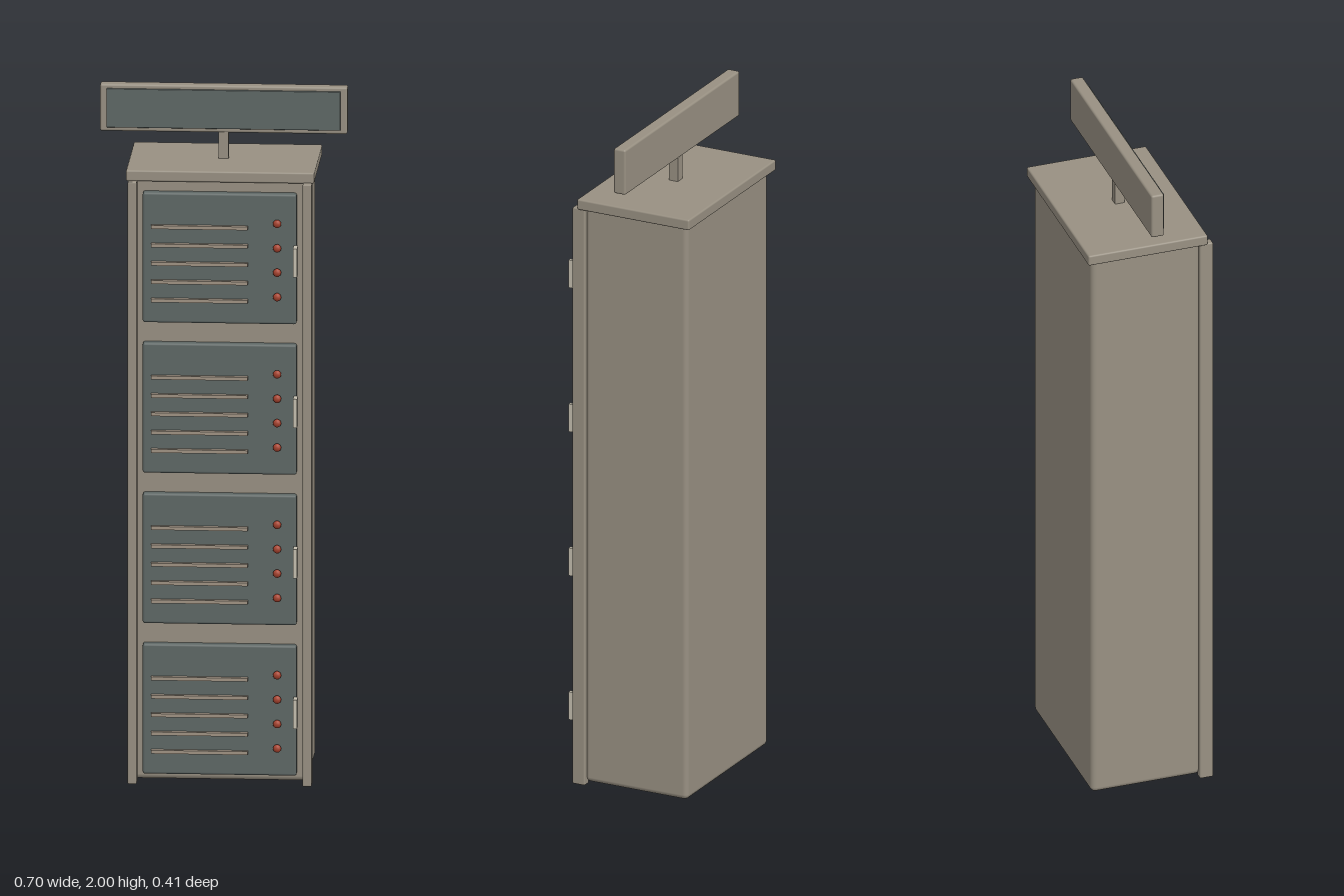
import * as THREE from 'three';
import { RoundedBoxGeometry } from 'three/addons/geometries/RoundedBoxGeometry.js';

const mat = (name, color) => {
  const m = new THREE.MeshStandardMaterial({ color });
  m.name = name;
  return m;
};

export function createModel() {
  const shell = mat('warm grey shell', 0x989082);
  const slate = mat('dark slate panel', 0x5e6765);
  const slatTone = mat('tan slat', 0xa09384);
  const red = mat('red lamp', 0xa8432f);
  const pale = mat('pale handle', 0xc6c0b0);

  const model = new THREE.Group();
  model.name = 'lockerCabinet';

  // Box from its limits, with rounded edges when a radius is given
  const box = (parent, name, material, [x0, x1], [y0, y1], [z0, z1], r = 0) => {
    const size = [x1 - x0, y1 - y0, z1 - z0];
    const geo = r ? new RoundedBoxGeometry(...size, 2, r) : new THREE.BoxGeometry(...size);
    const mesh = new THREE.Mesh(geo, material);
    mesh.name = name;
    mesh.position.set((x0 + x1) / 2, (y0 + y1) / 2, (z0 + z1) / 2);
    parent.add(mesh);
    return mesh;
  };

  // Cabinet shell, top cap and front rails
  box(model, 'body', shell, [-0.25, 0.25], [0.008, 1.765], [-0.19, 0.138], 0.015);
  box(model, 'topCap', shell, [-0.268, 0.268], [1.755, 1.787], [-0.205, 0.154], 0.005);
  for (const s of [-1, 1]) {
    const x = s * 0.249;
    box(model, s > 0 ? 'leftRail' : 'rightRail', shell, [x - 0.013, x + 0.013], [0, 1.757], [0.132, 0.172], 0.004);
  }

  // Four stacked doors, each with slats, lamps and a handle
  const lampGeo = new THREE.SphereGeometry(0.012, 10, 8);
  for (let i = 0; i < 4; i++) {
    const door = new THREE.Group();
    door.name = `door${i + 1}`;
    door.position.y = 0.218 + i * 0.439;
    model.add(door);
    box(door, 'doorPanel', slate, [-0.22, 0.218], [-0.19, 0.19], [0.13, 0.161], 0.007);
    for (let k = 0; k < 5; k++) {
      const y = 0.092 - k * 0.0535;
      box(door, 'ventSlat', slatTone, [-0.195, 0.08], [y - 0.005, y + 0.005], [0.155, 0.176]);
    }
    for (let k = 0; k < 4; k++) {
      const lamp = new THREE.Mesh(lampGeo, red);
      lamp.name = 'lamp';
      lamp.position.set(0.164, 0.107 - k * 0.0713, 0.175);
      lamp.scale.z = 0.8;
      door.add(lamp);
    }
    box(door, 'handle', pale, [0.211, 0.223], [-0.042, 0.042], [0.165, 0.204]);
  }

  // Sign on its post
  box(model, 'signPost', shell, [-0.014, 0.014], [1.785, 1.87], [-0.037, -0.009]);
  box(model, 'signBoard', shell, [-0.352, 0.352], [1.863, 2], [-0.045, -0.007], 0.006);
  box(model, 'signPanel', slate, [-0.333, 0.333], [1.875, 1.988], [-0.009, 0], 0.002);

  return model;
}
